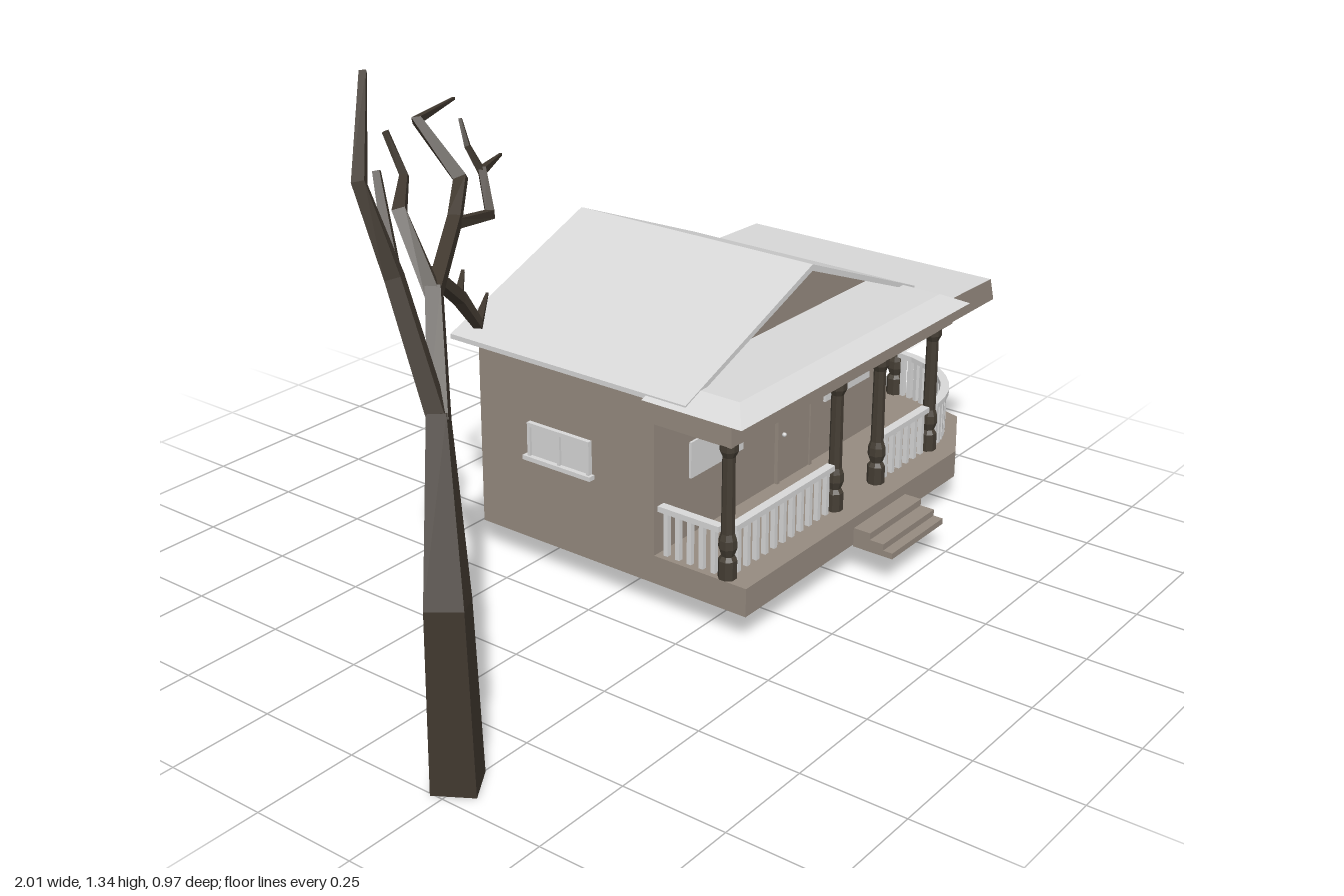
import * as THREE from 'three';

const mat = (name, color, side = THREE.FrontSide) => {
  const m = new THREE.MeshStandardMaterial({ color, side });
  m.name = name;
  return m;
};

export function createModel() {
  const model = new THREE.Group();
  const wall = mat('wallTaupe', 0x968b80);
  const white = mat('paleGrey', 0xd8d8d8);
  const wood = mat('darkWood', 0x453e34);
  const bark = mat('bark', 0x40382f);

  const add = (name, geo, material, parent = model) => {
    const m = new THREE.Mesh(geo, material);
    m.name = name;
    parent.add(m);
    return m;
  };
  const group = (name) => {
    const g = new THREE.Group();
    g.name = name;
    model.add(g);
    return g;
  };
  // Box given by its limits on each axis
  const box = (name, x0, x1, y0, y1, z0, z1, material, parent) => {
    const g = new THREE.BoxGeometry(x1 - x0, y1 - y0, z1 - z0);
    g.translate((x0 + x1) / 2, (y0 + y1) / 2, (z0 + z1) / 2);
    return add(name, g, material, parent);
  };
  // Outline in x,y extruded from z0 to z1
  const slab = (name, pts, z0, z1, material, parent) => {
    const shape = new THREE.Shape(pts.map(([x, y]) => new THREE.Vector2(x, y)));
    const g = new THREE.ExtrudeGeometry(shape, { depth: z1 - z0, bevelEnabled: false });
    g.translate(0, 0, z0);
    return add(name, g, material, parent);
  };

  // House shell, open underneath
  const house = group('house');
  const gable = [[-0.16, 0.07], [0.78, 0.07], [0.78, 0.525], [0.315, 0.708], [-0.16, 0.525]];
  slab('frontWall', gable, 0.11, 0.12, wall, house);
  slab('backWall', gable, -0.4, -0.39, wall, house);
  box('leftWall', 0.77, 0.78, 0.07, 0.525, -0.39, 0.11, wall, house);
  box('rightWall', -0.16, -0.15, 0.07, 0.525, -0.39, 0.11, wall, house);
  slab('mainRoof', [[-0.165, 0.523], [-0.165, 0.535], [0.322, 0.724], [0.79, 0.535], [0.79, 0.523], [0.322, 0.708]],
    -0.485, 0.21, white, house);

  // Door with frame and knob
  box('door', 0.325, 0.455, 0.14, 0.4, 0.105, 0.126, wall, house);
  box('doorFrameTop', 0.315, 0.465, 0.4, 0.41, 0.1, 0.13, wall, house);
  for (const x of [0.315, 0.455]) box('doorFrameSide', x, x + 0.01, 0.14, 0.4, 0.1, 0.13, wall, house);
  const knob = add('doorKnob', new THREE.SphereGeometry(0.006, 8, 6), white, house);
  knob.position.set(0.338, 0.265, 0.132);

  // Windows
  for (const [a, b] of [[-0.03, 0.175], [0.525, 0.73]])
    box('frontWindow', a, b, 0.285, 0.375, 0.12, 0.126, white, house);
  for (const [a, b] of [[-0.115, -0.015], [-0.295, -0.19]])
    box('porchWindow', 0.78, 0.786, 0.29, 0.372, a, b, white, house);
  box('sideWindow', -0.165, -0.16, 0.29, 0.37, -0.24, -0.065, white, house);
  box('sideWindowSill', -0.178, -0.16, 0.28, 0.291, -0.255, -0.053, white, house);
  box('sideWindowHead', -0.172, -0.16, 0.365, 0.375, -0.245, -0.06, white, house);
  for (const z of [-0.245, -0.155, -0.068])
    box('sideWindowBar', -0.172, -0.16, 0.29, 0.367, z, z + 0.008, white, house);

  // Wraparound porch deck with a cut corner
  const deckPts = [[-0.16, 0.375], [0.75, 0.375], [0.94, 0.27], [1, 0.05], [1, -0.4], [0.78, -0.4], [0.78, 0.12], [-0.16, 0.12]];
  const deckGeo = new THREE.ExtrudeGeometry(
    new THREE.Shape(deckPts.map(([x, z]) => new THREE.Vector2(x, -z))), { depth: 0.07, bevelEnabled: false });
  deckGeo.rotateX(-Math.PI / 2).translate(0, 0.07, 0);
  const porch = group('porch');
  add('deck', deckGeo, wall, porch);
  [[0.38, 0.425, 0.118], [0.425, 0.462, 0.101], [0.462, 0.487, 0.085]].forEach(([z0, z1, y]) =>
    box('step', 0.27, 0.5, 0.07, y, z0, z1, wall, porch));

  // Porch roofs
  box('frontBeam', -0.16, 0.78, 0.465, 0.53, 0.12, 0.33, wall, porch);
  slab('sidePorchRoof', [[0.78, 0.465], [0.995, 0.465], [0.975, 0.525], [0.78, 0.53]], -0.405, 0.325, [wall, white], porch);
  const hip = new THREE.BoxGeometry(0.97, 0.028, 0.27).toNonIndexed();
  hip.translate(0.305, 0.539, 0.235);
  const p = hip.attributes.position;
  for (let i = 0; i < p.count; i++) {
    if (p.getY(i) < 0.54) continue;
    p.setX(i, p.getX(i) < 0.3 ? -0.11 : 0.735);
    if (p.getZ(i) > 0.3) p.setZ(i, 0.315);
  }
  hip.computeVertexNormals();
  add('frontPorchRoof', hip, white, porch);

  // Turned posts
  const postProfile = [[0, 0.14], [0.022, 0.14], [0.022, 0.185], [0.015, 0.195], [0.022, 0.215], [0.021, 0.235],
    [0.016, 0.25], [0.015, 0.435], [0.022, 0.45], [0.022, 0.466], [0, 0.466]].map(([r, y]) => new THREE.Vector2(r, y));
  const postGeo = new THREE.LatheGeometry(postProfile, 8, Math.PI / 8).toNonIndexed();
  postGeo.computeVertexNormals();
  for (const [x, z] of [[-0.14, 0.31], [0.29, 0.31], [0.475, 0.31], [0.72, 0.31], [0.977, 0.055], [0.977, -0.375]])
    add('post', postGeo, wood, porch).position.set(x, 0, z);

  // Railings: handrail pieces along a path with evenly spaced balusters
  const railings = group('railings');
  const rail = (pts, gap) => {
    let len = 0;
    for (let i = 1; i < pts.length; i++) {
      const [ax, az] = pts[i - 1], [bx, bz] = pts[i];
      const d = Math.hypot(bx - ax, bz - az), turn = -Math.atan2(bz - az, bx - ax);
      const h = add('handrail', new THREE.BoxGeometry(d + 0.004, 0.014, 0.022), white, railings);
      h.position.set((ax + bx) / 2, 0.255, (az + bz) / 2);
      h.rotation.y = turn;
      const n = Math.max(1, Math.round(d / gap));
      for (let k = 0; k < n; k++) {
        const t = (k + 0.5) / n;
        const b = add('baluster', new THREE.BoxGeometry(0.012, 0.11, 0.012), white, railings);
        b.position.set(ax + (bx - ax) * t, 0.195, az + (bz - az) * t);
        b.rotation.y = turn;
      }
      len += d;
    }
    return len;
  };
  rail([[-0.12, 0.31], [0.27, 0.31]], 0.036);
  rail([[0.495, 0.31], [0.7, 0.31]], 0.036);
  rail([[0.977, 0.035], [0.977, -0.355]], 0.046);
  rail([[0.785, -0.375], [0.957, -0.375]], 0.036);
  rail([[-0.14, 0.125], [-0.14, 0.29]], 0.036);
  const arc = [];
  for (let i = 0; i <= 8; i++) {
    const a = 0.06 + (i / 8) * (Math.PI / 2 - 0.12);
    arc.push([0.72 + 0.257 * Math.cos(a), 0.055 + 0.26 * Math.sin(a)]);
  }
  rail(arc.reverse(), 0.026);

  // Bare tree: each limb is a four-sided loft through [x, y, z, radius]
  const tree = group('tree');
  const limb = (name, pts) => {
    const P = pts.map((q) => new THREE.Vector3(q[0], q[1], q[2]));
    const ref = new THREE.Vector3(1, 0, 1.6).normalize();
    const pos = [], idx = [], last = P.length - 1;
    P.forEach((c, i) => {
      const dir = P[Math.min(i + 1, last)].clone().sub(P[Math.max(i - 1, 0)]).normalize();
      if (i === 0 && c.y === 0) dir.set(0, 1, 0);
      const u = new THREE.Vector3().crossVectors(dir, ref).normalize();
      const v = new THREE.Vector3().crossVectors(dir, u);
      for (let k = 0; k < 4; k++) {
        const a = Math.PI / 4 + (k * Math.PI) / 2, r = pts[i][3];
        const w = c.clone().addScaledVector(u, r * Math.cos(a)).addScaledVector(v, r * Math.sin(a));
        pos.push(w.x, w.y, w.z);
        if (i < last) {
          const s = i * 4 + k, t = i * 4 + ((k + 1) % 4);
          idx.push(s, t, t + 4, s, t + 4, s + 4);
        }
      }
    });
    const e = last * 4;
    idx.push(0, 2, 1, 0, 3, 2, e, e + 1, e + 2, e, e + 2, e + 3);
    const g = new THREE.BufferGeometry();
    g.setAttribute('position', new THREE.Float32BufferAttribute(pos, 3));
    g.setIndex(idx);
    const flat = g.toNonIndexed();
    flat.computeVertexNormals();
    add(name, flat, bark, tree);
  };
  limb('trunk', [[-0.942, 0, 0.238, 0.066], [-0.947, 0.4, 0.235, 0.056], [-0.87, 0.75, 0.155, 0.028]]);
  limb('upperBranch', [[-0.872, 0.73, 0.16, 0.026], [-0.87, 1, 0.055, 0.023], [-0.895, 1.18, 0, 0.018], [-0.738, 1.338, -0.138, 0.01]]);
  limb('upperTwig', [[-0.87, 0.98, 0.06, 0.018], [-0.82, 1.18, -0.03, 0.01]]);
  limb('mainBranch', [[-0.872, 0.73, 0.16, 0.028], [-0.74, 0.935, 0.03, 0.022]]);
  limb('middleBranch', [[-0.745, 0.92, 0.035, 0.022], [-0.73, 1.07, -0.065, 0.019], [-0.648, 1.11, -0.13, 0.012], [-0.665, 1.2, -0.16, 0.008]]);
  limb('outerBranch', [[-0.745, 0.925, 0.035, 0.02], [-0.55, 1, -0.09, 0.019], [-0.465, 1.055, -0.15, 0.02], [-0.495, 1.172, -0.24, 0.014], [-0.33, 1.175, -0.29, 0.004]]);
  limb('outerTwig', [[-0.56, 0.995, -0.085, 0.015], [-0.4, 0.965, -0.13, 0.014], [-0.345, 1.035, -0.2, 0.012], [-0.17, 1.01, -0.305, 0.004]]);
  limb('upturnedTwig', [[-0.345, 1.03, -0.2, 0.01], [-0.365, 1.09, -0.222, 0.008], [-0.36, 1.145, -0.245, 0.005]]);
  limb('droopingBranch', [[-0.745, 0.93, 0.035, 0.018], [-0.62, 0.905, -0.1, 0.017], [-0.49, 0.8, -0.14, 0.018], [-0.435, 0.725, -0.142, 0.014], [-0.32, 0.742, -0.22, 0.004]]);
  limb('droopingTwig', [[-0.495, 0.8, -0.14, 0.013], [-0.415, 0.827, -0.2, 0.005]]);

  return model;
}
